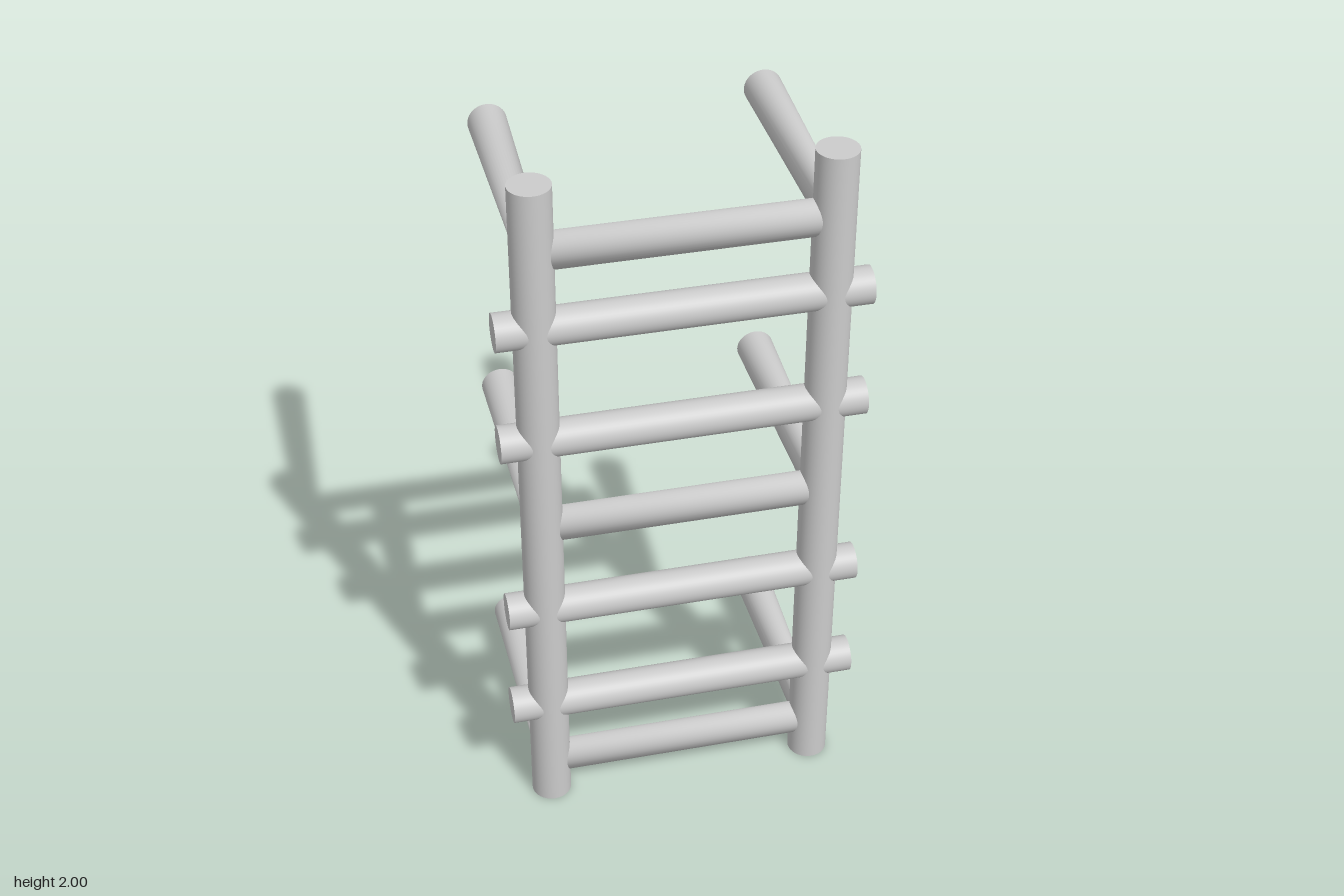
import * as THREE from 'three';

const SIDES = 40;
const RAIL_Z = 0.3;
const material = new THREE.MeshStandardMaterial({ color: 0xcccccc });

function addMesh(parent, geometry, name) {
  const mesh = new THREE.Mesh(geometry, material);
  mesh.name = name;
  parent.add(mesh);
  return mesh;
}

// Skin round sections along a path; each entry is [x, z, tangentX, tangentZ].
// Corner sections stay round on the mitre plane, so the bar flattens there.
function sweptBar(path, radius) {
  const positions = [];
  const indices = [];
  path.forEach(([x, z, tx, tz], i) => {
    const len = Math.hypot(tx, tz);
    for (let j = 0; j < SIDES; j++) {
      const a = (j / SIDES) * Math.PI * 2;
      const c = (radius * Math.cos(a)) / len;
      positions.push(x + c * tz, radius * Math.sin(a), z - c * tx);
      if (i < path.length - 1) {
        const k = (j + 1) % SIDES;
        const p = i * SIDES + j, q = i * SIDES + k;
        indices.push(p, q, p + SIDES, q, q + SIDES, p + SIDES);
      }
    }
  });
  const geometry = new THREE.BufferGeometry();
  geometry.setAttribute('position', new THREE.Float32BufferAttribute(positions, 3));
  geometry.setIndex(indices);
  geometry.computeVertexNormals();
  return geometry;
}

export function createModel() {
  const model = new THREE.Group();
  model.name = 'wallRack';

  // Two upright posts
  for (const [x, name] of [[0.377, 'leftPost'], [-0.378, 'rightPost']]) {
    addMesh(model, new THREE.CylinderGeometry(0.055, 0.055, 2, SIDES), name)
      .position.set(x, 1, RAIL_Z);
  }

  // Straight rungs passing through the posts
  const rung = new THREE.CylinderGeometry(0.05, 0.05, 0.963, SIDES).rotateZ(Math.PI / 2);
  for (const y of [0.337, 0.682, 1.247, 1.592]) {
    addMesh(model, rung, 'rung').position.set(0, y, RAIL_Z);
  }

  // U-shaped bars: a cross rung with an arm reaching back from each post
  const armRadius = 0.052;
  const path = [
    [-0.377, -0.339, 0, 1],
    [-0.377, RAIL_Z, 1, 1],
    [0.374, RAIL_Z, 1, -1],
    [0.37, -0.357, 0, -1],
  ];
  const bar = sweptBar(path, armRadius);
  const cap = new THREE.CircleGeometry(armRadius, SIDES).rotateY(Math.PI);
  for (const y of [0.117, 0.964, 1.811]) {
    const bracket = new THREE.Group();
    bracket.name = 'wallBracket';
    bracket.position.y = y;
    addMesh(bracket, bar, 'bracketBar');
    for (const [x, z] of [path[0], path[3]]) {
      addMesh(bracket, cap, 'armEnd').position.set(x, 0, z);
    }
    model.add(bracket);
  }

  return model;
}
